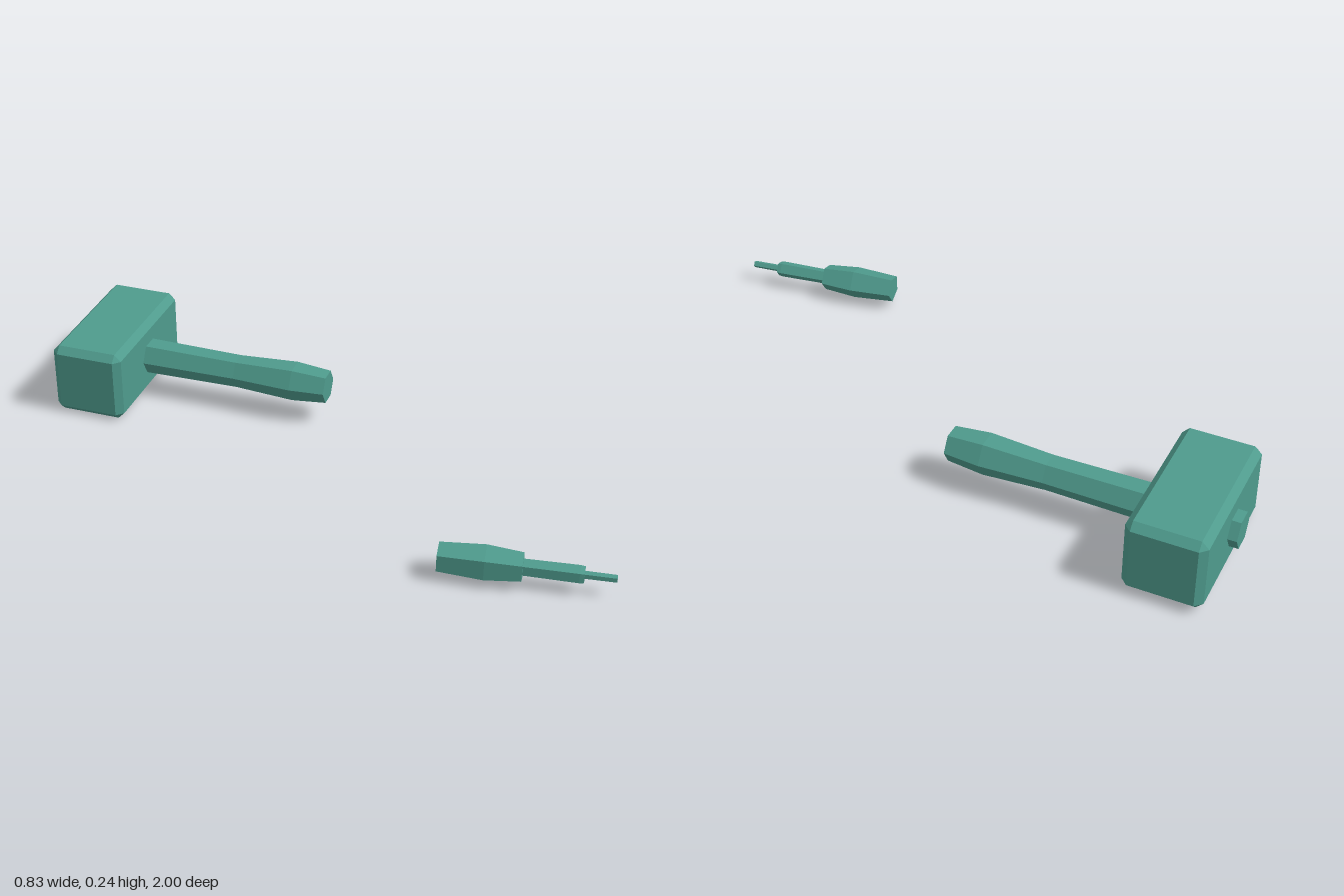
import * as THREE from 'three';
import { ConvexGeometry } from 'three/addons/geometries/ConvexGeometry.js';

const material = new THREE.MeshStandardMaterial({ color: 0x4f9b8d, flatShading: true });

// Closed faceted bar along local +z; stations are [distance, radius], one corner points to +x.
function bar(name, sides, stations) {
  const first = stations[0][0];
  const last = stations[stations.length - 1][0];
  const profile = [[first, 0], ...stations, [last, 0]].map(([t, r]) => new THREE.Vector2(r, t));
  const geometry = new THREE.LatheGeometry(profile, sides, Math.PI / 2);
  geometry.rotateX(Math.PI / 2);
  const mesh = new THREE.Mesh(geometry, material);
  mesh.name = name;
  return mesh;
}

// Box with every edge cut off by c; a, h and b are half sizes in x, y and z.
function chamferedBox(name, a, h, b, c) {
  const points = [];
  for (const x of [-1, 1]) for (const y of [-1, 1]) for (const z of [-1, 1]) {
    points.push(
      new THREE.Vector3(x * a, y * (h - c), z * (b - c)),
      new THREE.Vector3(x * (a - c), y * h, z * (b - c)),
      new THREE.Vector3(x * (a - c), y * (h - c), z * b));
  }
  const mesh = new THREE.Mesh(new ConvexGeometry(points), material);
  mesh.name = name;
  return mesh;
}

function createMallet() {
  const mallet = new THREE.Group();
  mallet.name = 'mallet';
  mallet.add(
    chamferedBox('malletHead', 0.236, 0.114, 0.115, 0.021),
    // Handle runs through the head and shows as a stub behind it
    bar('malletHandle', 6, [[-0.142, 0.052], [0.11, 0.055], [0.42, 0.051], [0.61, 0.061], [0.72, 0.051]]));
  // Lies turned on the ground, tipped slightly along the head
  mallet.rotation.set(0, 0.654, 0.026, 'YXZ');
  mallet.position.set(-0.167, 0.12, -0.778);
  return mallet;
}

function createChisel() {
  const chisel = new THREE.Group();
  chisel.name = 'chisel';
  chisel.add(
    bar('chiselHandle', 5, [[0, 0.043], [0.13, 0.0515], [0.232, 0.042]]),
    bar('chiselShaft', 5, [[0.2, 0.024], [0.385, 0.026], [0.398, 0.024]]),
    bar('chiselTip', 5, [[0.38, 0.0115], [0.485, 0.011]]));
  chisel.rotation.y = Math.PI / 4;
  chisel.position.set(0.061, 0.061, 0.647);
  return chisel;
}

export function createModel() {
  const model = new THREE.Group();
  model.name = 'malletAndChisel';
  model.add(createMallet(), createChisel());
  return model;
}
